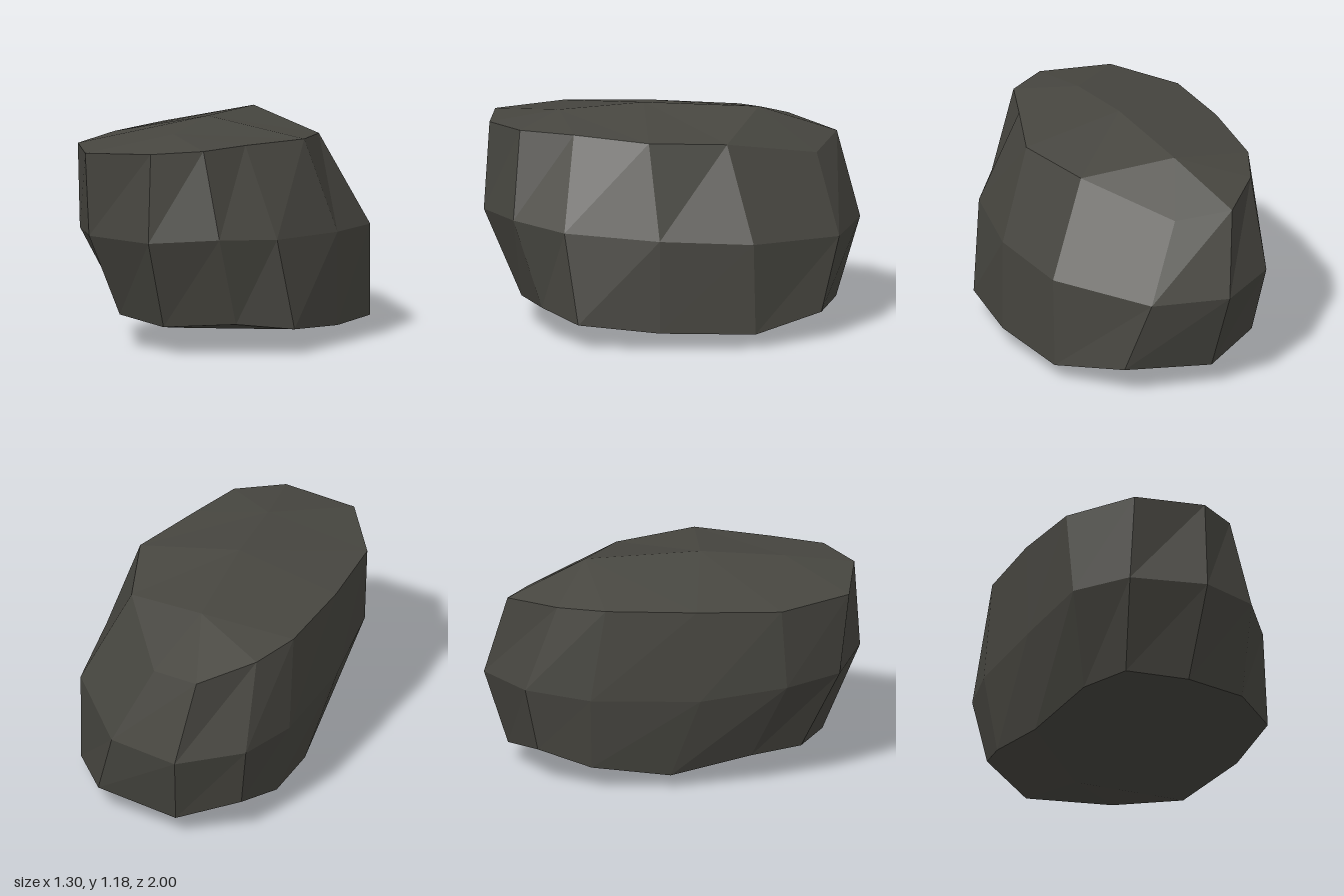
import * as THREE from 'three';

// Cross-section rings, counter-clockwise from the front as seen from above
const bottomRing = [
  [-0.05, 0.145, 0.8], [0.33, 0.17, 0.71], [0.59, 0.135, 0.53], [0.65, 0.1, 0.1],
  [0.615, 0.08, -0.41], [0.39, 0.145, -0.77], [-0.08, 0.115, -0.87], [-0.4, 0.2, -0.73],
  [-0.5, 0.13, -0.45], [-0.51, 0.08, -0.03], [-0.46, 0.165, 0.4], [-0.36, 0.175, 0.67],
];
const middleRing = [
  [-0.05, 0.62, 1], [0.3, 0.64, 0.86], [0.52, 0.62, 0.6], [0.65, 0.6, 0.1],
  [0.62, 0.57, -0.4], [0.28, 0.53, -0.87], [-0.12, 0.54, -1], [-0.45, 0.56, -0.8],
  [-0.575, 0.54, -0.46], [-0.64, 0.55, 0.12], [-0.63, 0.615, 0.58], [-0.45, 0.62, 0.87],
];
const topRing = [
  [-0.05, 1.095, 0.97], [0.19, 1.105, 0.82], [0.31, 1.105, 0.54], [0.48, 1.095, 0.15],
  [0.38, 1.06, -0.27], [0.08, 0.94, -0.76], [-0.2, 0.99, -0.88], [-0.45, 1.03, -0.63],
  [-0.57, 1.05, -0.38], [-0.64, 1.06, 0.1], [-0.655, 1.06, 0.55], [-0.45, 1.07, 0.92],
];
// Ridge points (front, centre, back) closing the top and the underside
const topRidge = [[-0.08, 1.15, 0.6], [-0.08, 1.185, 0.15], [-0.08, 1.155, -0.46]];
const bottomRidge = [[-0.06, 0.09, 0.45], [-0.08, 0.05, 0.1], [-0.08, 0, -0.35]];
// Ridge point that each ring corner leans towards
const ridgeOf = [0, 0, 0, 1, 2, 2, 2, 2, 2, 1, 0, 0];

function createRockGeometry() {
  const positions = [];
  const tri = (a, b, c) => positions.push(...a, ...b, ...c);

  // Side walls
  const wall = (lo, up) => lo.forEach((p, i) => {
    const j = (i + 1) % lo.length;
    tri(p, lo[j], up[j]);
    tri(p, up[j], up[i]);
  });

  // Faceted cap between a ring and its ridge
  const cap = (ring, ridge, flip) => ring.forEach((p, i) => {
    const j = (i + 1) % ring.length;
    const a = ridge[ridgeOf[i]], b = ridge[ridgeOf[j]];
    const face = (u, v, w) => (flip ? tri(v, u, w) : tri(u, v, w));
    face(p, ring[j], a);
    if (a !== b) face(ring[j], b, a);
  });

  wall(bottomRing, middleRing);
  wall(middleRing, topRing);
  cap(topRing, topRidge, false);
  cap(bottomRing, bottomRidge, true);

  const geometry = new THREE.BufferGeometry();
  geometry.setAttribute('position', new THREE.Float32BufferAttribute(positions, 3));
  geometry.computeVertexNormals();
  return geometry;
}

export function createModel() {
  const group = new THREE.Group();
  group.name = 'boulder';
  const stone = new THREE.MeshStandardMaterial({ color: 0x474640, flatShading: true });
  stone.name = 'dark stone';
  const rock = new THREE.Mesh(createRockGeometry(), stone);
  rock.name = 'rock';
  group.add(rock);
  return group;
}
